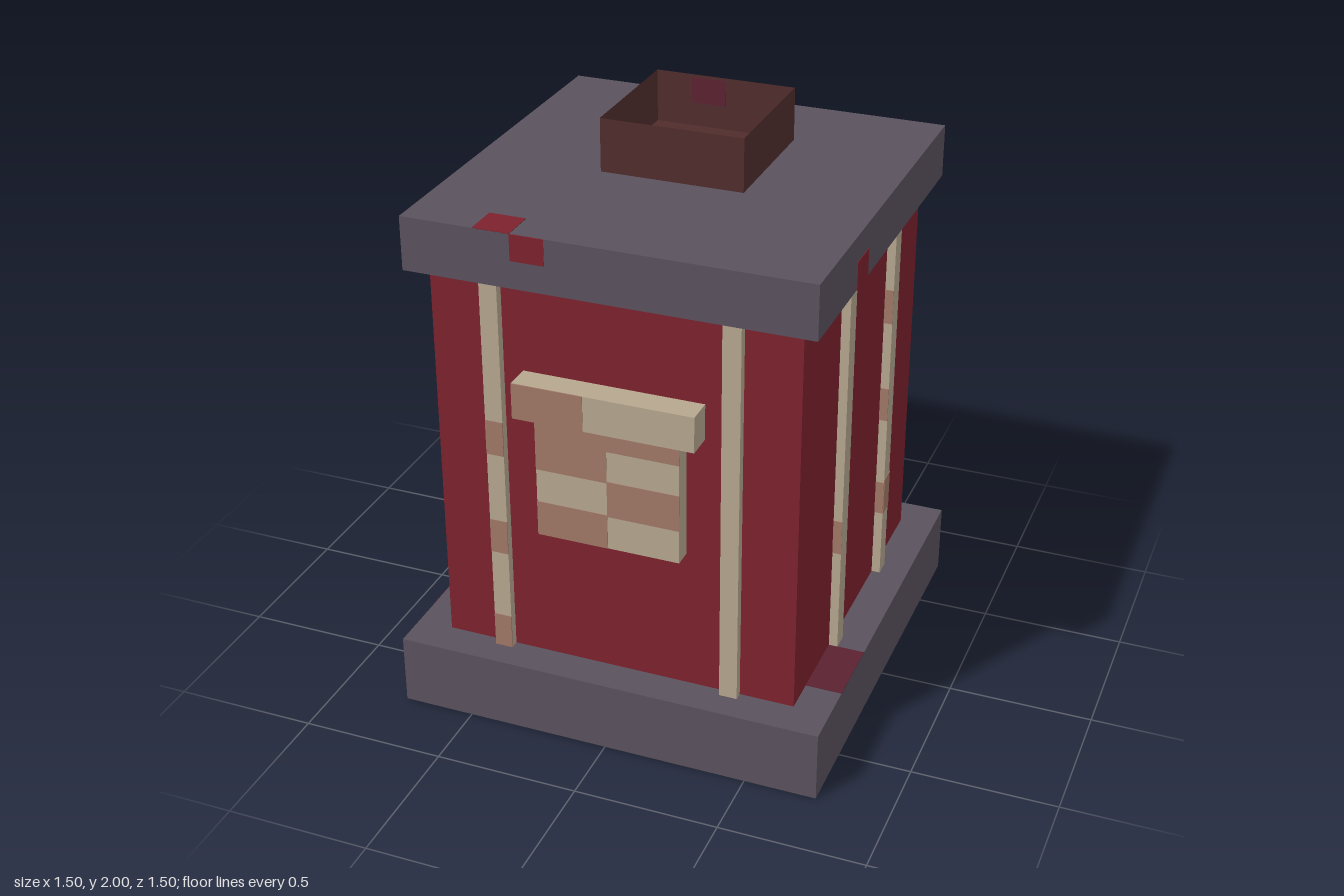
import * as THREE from 'three';

const mat = (name, color) => {
  const m = new THREE.MeshStandardMaterial({ color });
  m.name = name;
  return m;
};

export function createModel() {
  const root = new THREE.Group();
  root.name = 'redHut';
  const red = mat('red', 0x7d222d);
  const darkRed = mat('darkRed', 0x5b2231);
  const grey = mat('grey', 0x5a525e);
  const cream = mat('cream', 0xb5a68e);
  const mauve = mat('mauve', 0xa07868);
  const brown = mat('brown', 0x502c2c);
  const brownInside = mat('brownInside', 0x502c2c);
  brownInside.side = THREE.DoubleSide;

  // Box given by its limits on each axis
  const box = (name, m, [x0, x1], [y0, y1], [z0, z1], parent = root) => {
    const mesh = new THREE.Mesh(new THREE.BoxGeometry(x1 - x0, y1 - y0, z1 - z0), m);
    mesh.position.set((x0 + x1) / 2, (y0 + y1) / 2, (z0 + z1) / 2);
    mesh.name = name;
    parent.add(mesh);
    return mesh;
  };
  const T = 0.002; // half thickness of painted plates
  const thin = (v) => [v - T, v + T];

  // Main masses
  box('base', grey, [-0.75, 0.75], [0, 0.25], [-0.75, 0.75]);
  box('body', red, [-0.625, 0.625], [0.25, 1.63], [-0.625, 0.625]);
  box('roofSlab', grey, [-0.6875, 0.6875], [1.63, 1.815], [-0.6875, 0.6875]);

  // Open chimney: four thin walls and a floor
  const chimney = new THREE.Group();
  chimney.name = 'chimney';
  root.add(chimney);
  const plane = (name, m, w, h, pos, rotX, rotY) => {
    const p = new THREE.Mesh(new THREE.PlaneGeometry(w, h), m);
    p.position.set(...pos);
    p.rotation.set(rotX, rotY, 0);
    p.name = name;
    chimney.add(p);
  };
  const cz = -0.1225, half = 0.2475, cy = 1.9075;
  for (let i = 0; i < 4; i++) {
    const a = (i * Math.PI) / 2;
    plane('chimneyWall', brownInside, half * 2, 0.185,
      [Math.sin(a) * half, cy, cz + Math.cos(a) * half], 0, a);
  }
  plane('chimneyFloor', brown, half * 2, half * 2, [0, 1.817, cz], -Math.PI / 2, 0);
  box('chimneyPatch', darkRed, [-0.12, 0], [1.9, 1.99], thin(cz - half), chimney);
  box('floorPatch', red, [-0.19, -0.065], thin(1.818), [-0.19, -0.065], chimney);

  // Vertical battens; each side is a group turned to face its direction.
  // Entries: offset, faded spans on the outer face, on the -x flank, on the +x flank.
  const sides = [
    ['front', 0, [
      [-0.409, [[1.0, 1.125], [0.625, 0.75], [0.25, 0.375]], [], []],
      [0.406, [], [], []]]],
    ['left', Math.PI / 2, [
      [-0.22, [], [[0.625, 0.75]], []],
      [0.28, [[0.5, 0.64]], [[1.25, 1.375], [0.875, 1.0], [0.5, 0.625]], []]]],
    ['back', Math.PI, [
      [-0.22, [], [], []],
      [0.28, [[1.37, 1.5], [1.06, 1.25], [0.625, 0.75]], [], [[1.37, 1.5], [1.06, 1.25]]]]],
    ['right', -Math.PI / 2, [
      [-0.28, [[1.375, 1.5], [0.625, 0.75]], [], []],
      [0.22, [[0.75, 0.875]], [], [[0.75, 0.875], [0.25, 0.38]]]]],
  ];
  for (const [name, angle, battens] of sides) {
    const g = new THREE.Group();
    g.name = name + 'Battens';
    g.rotation.y = angle;
    root.add(g);
    for (const [x, outer, minus, plus] of battens) {
      const w = 0.031, depth = [0.625, 0.655];
      box('batten', cream, [x - w, x + w], [0.25, 1.63], depth, g);
      for (const y of outer) box('fadedPaint', mauve, [x - w, x + w], y, thin(0.655), g);
      for (const y of minus) box('fadedPaint', mauve, thin(x - w), y, depth, g);
      for (const y of plus) box('fadedPaint', mauve, thin(x + w), y, depth, g);
    }
  }

  // Front hatch with its lintel and faded paint
  box('hatch', cream, [-0.2475, 0.2475], [0.755, 1.19], [0.625, 0.688]);
  box('lintel', cream, [-0.31, 0.31], [1.19, 1.315], [0.625, 0.719]);
  box('lintelFade', mauve, [-0.31, -0.065], [1.19, 1.315], thin(0.719));
  const fades = [
    [[-0.2475, 0], [1.0, 1.19]],
    [[-0.2475, 0], [0.755, 0.88]],
    [[0, 0.2475], [1.115, 1.19]],
    [[0, 0.2475], [0.875, 1.005]],
  ];
  for (const [x, y] of fades) box('hatchFade', mauve, x, y, thin(0.688));

  // Red patches on the roof slab
  box('roofPatch', red, [-0.31, -0.195], [1.725, 1.815], thin(0.6875));
  box('roofPatch', red, [-0.435, -0.31], thin(1.815), [0.565, 0.6875]);
  box('roofPatch', red, thin(0.6875), [1.63, 1.725], [0.195, 0.31]);

  // Dark red patches on the base
  box('basePatch', darkRed, [-0.25, -0.125], thin(0.25), [-0.75, -0.625]);
  box('basePatch', darkRed, [0.625, 0.75], thin(0.25), [0.25, 0.5]);
  box('basePatch', darkRed, thin(-0.75), [0, 0.25], [0.375, 0.5]);
  box('basePatch', darkRed, [0.375, 0.5], thin(0), [-0.75, -0.5]);
  box('basePatch', darkRed, [-0.5, -0.375], thin(0), [-0.25, 0]);

  return root;
}
